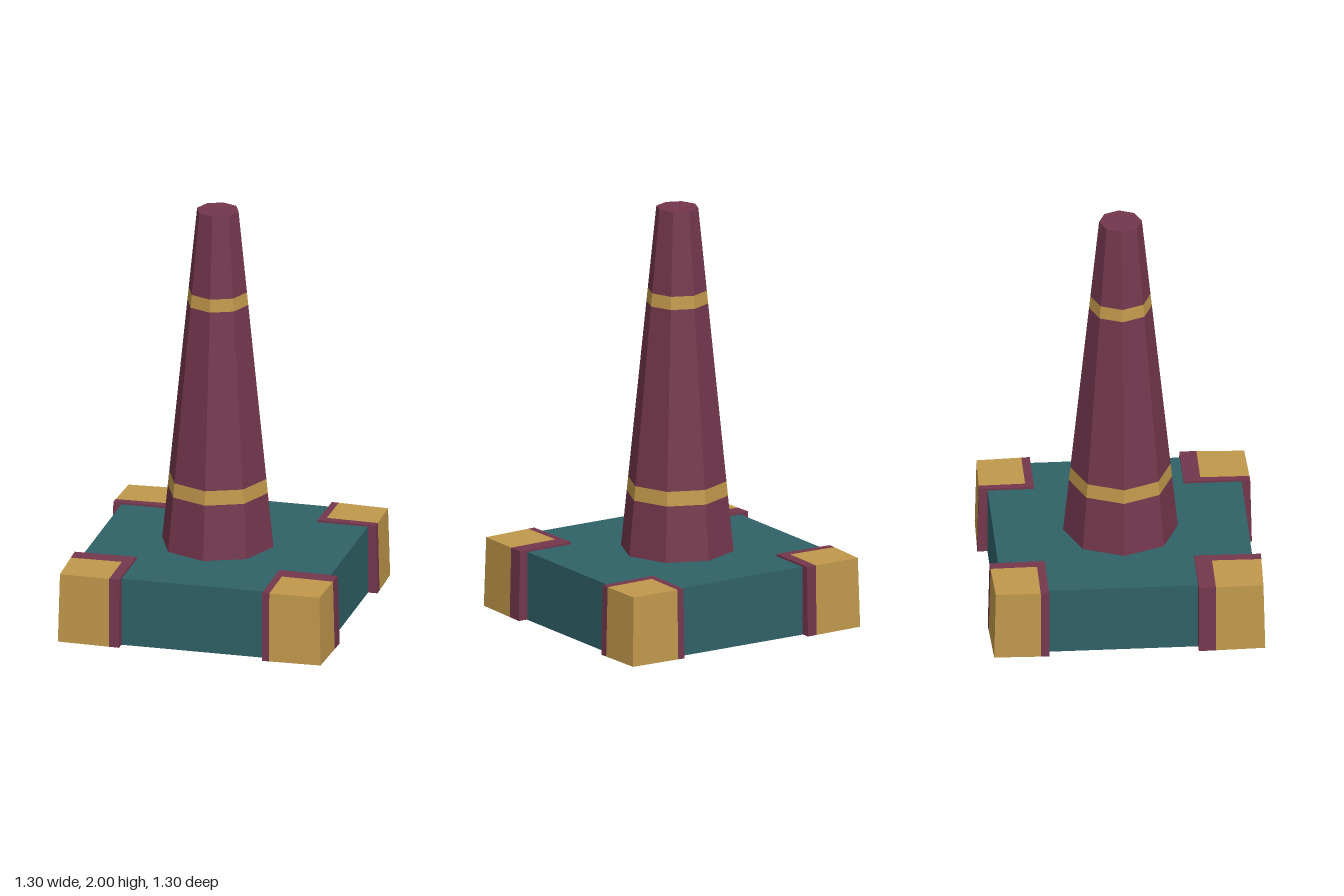
import * as THREE from 'three';

const material = (name, color) => {
  const m = new THREE.MeshStandardMaterial({ color, flatShading: true });
  m.name = name;
  return m;
};

export function createModel() {
  const group = new THREE.Group();
  const plum = material('plum', 0x74374d);
  const gold = material('gold', 0xc0984b);
  const teal = material('teal', 0x2f6167);

  const add = (name, geometry, mat, parent = group) => {
    const mesh = new THREE.Mesh(geometry, mat);
    mesh.name = name;
    parent.add(mesh);
    return mesh;
  };

  // Square base slab
  const baseTop = 0.332;
  add('base', new THREE.BoxGeometry(1.2, baseTop, 1.2), teal).position.y = baseTop / 2;

  // Tapered eight-sided shaft, a little off centre, with flush bands
  const shaft = new THREE.Group();
  shaft.name = 'shaft';
  shaft.position.x = -0.03;
  group.add(shaft);
  const radiusAt = (y) => 0.271 + (0.101 - 0.271) * (y - baseTop) / (2 - baseTop);
  const levels = [baseTop, 0.6, 0.67, 1.535, 1.598, 2];
  const names = ['shaftFoot', 'lowerBand', 'shaftMiddle', 'upperBand', 'shaftTop'];
  names.forEach((name, i) => {
    const [y0, y1] = [levels[i], levels[i + 1]];
    const open = i < names.length - 1;
    const geometry = new THREE.CylinderGeometry(radiusAt(y1), radiusAt(y0), y1 - y0, 8, 1, open);
    add(name, geometry, i % 2 ? gold : plum, shaft).position.y = (y0 + y1) / 2;
  });

  // Corner block piece: a box whose outer walls lean in toward the top and the corner
  const OUT = 0.64;
  const cornerPiece = (sx, sz, x0, x1, z0, z1) => {
    const geometry = new THREE.BoxGeometry(1, 1, 1);
    const p = geometry.attributes.position;
    for (let i = 0; i < p.count; i++) {
      const ax = p.getX(i) * sx > 0 ? x1 : x0;
      const az = p.getZ(i) * sz > 0 ? z1 : z0;
      const top = p.getY(i) > 0;
      const lean = (along) => OUT + 0.03 * (OUT - along) - (top ? 0.008 : 0);
      const x = ax === OUT ? lean(az) : ax;
      const z = az === OUT ? lean(ax) : az;
      const y = top ? 0.338 + 0.01 * (2 * OUT - ax - az) : 0.002;
      p.setXYZ(i, sx * x, y, sz * z);
    }
    geometry.computeVertexNormals();
    return geometry;
  };

  // Four gold corner blocks, each with plum trim on its two inner sides
  for (const sx of [-1, 1]) {
    for (const sz of [-1, 1]) {
      const corner = new THREE.Group();
      corner.name = (sz > 0 ? 'front' : 'back') + (sx > 0 ? 'Left' : 'Right') + 'Corner';
      group.add(corner);
      const innerX = sx > 0 ? 0.356 : 0.34;
      const innerZ = sz > 0 ? 0.326 : 0.38;
      const goldX = 0.39;
      const goldZ = sz > 0 ? 0.407 : 0.42;
      add('cornerBlock', cornerPiece(sx, sz, goldX, OUT, goldZ, OUT), gold, corner);
      add('trimAlongZ', cornerPiece(sx, sz, innerX, goldX, innerZ, OUT), plum, corner);
      add('trimAlongX', cornerPiece(sx, sz, goldX, OUT, innerZ, goldZ), plum, corner);
    }
  }
  return group;
}
